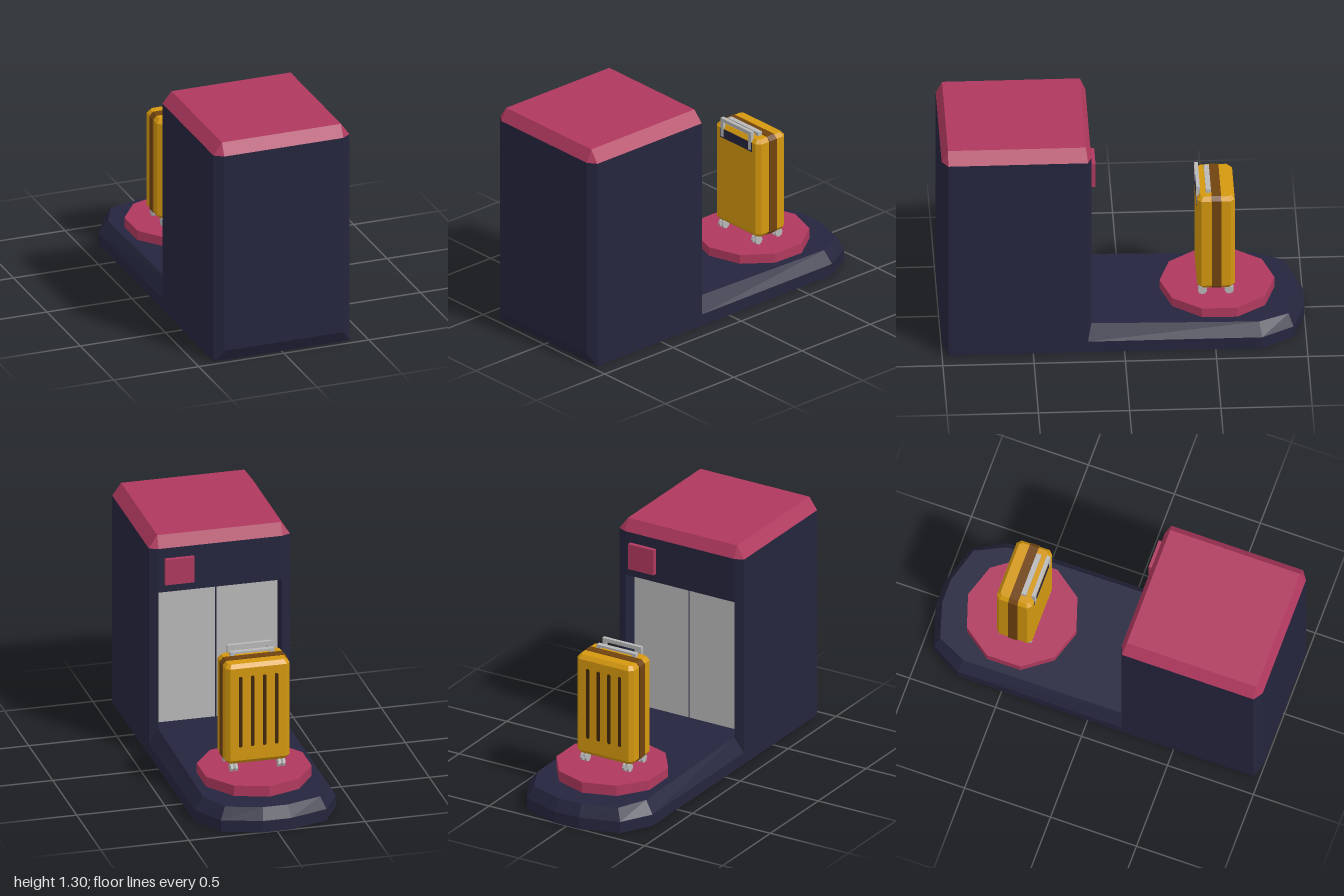
import * as THREE from 'three';

const mat = (name, color) => Object.assign(new THREE.MeshStandardMaterial({ color }), { name });

// Mirrors half an outline of [x, z] points, running from back to front, across x = 0
const mirror = (half) => half.concat(half.slice().reverse().map(([x, z]) => [-x, z]));

// Flat-faced solid through rings of { pts, y }, where y is a number or a function of z
function loft(rings) {
  const levels = rings.map(({ pts, y }) =>
    pts.map(([x, z]) => new THREE.Vector3(x, typeof y === 'function' ? y(z) : y, z)));
  const pos = [];
  const tri = (...vs) => vs.forEach((v) => pos.push(v.x, v.y, v.z));
  for (let k = 0; k + 1 < levels.length; k++) {
    const lo = levels[k], hi = levels[k + 1], n = lo.length;
    for (let i = 0; i < n; i++) {
      const j = (i + 1) % n;
      tri(lo[i], hi[i], lo[j]);
      tri(lo[j], hi[i], hi[j]);
    }
  }
  const cap = (ring, up) => {
    const flat = ring.map((v) => new THREE.Vector2(v.x, v.z));
    for (const [a, b, c] of THREE.ShapeUtils.triangulateShape(flat, [])) {
      const ab = ring[b].clone().sub(ring[a]), ac = ring[c].clone().sub(ring[a]);
      const facesUp = ab.cross(ac).y > 0;
      if (facesUp === up) tri(ring[a], ring[b], ring[c]);
      else tri(ring[a], ring[c], ring[b]);
    }
  };
  cap(levels[0], false);
  cap(levels[levels.length - 1], true);
  const g = new THREE.BufferGeometry();
  g.setAttribute('position', new THREE.Float32BufferAttribute(pos, 3));
  g.computeVertexNormals();
  return g;
}

// Rectangle outline with cut corners
const cutRect = (w, d, c) => mirror([[w - c, -d], [w, -d + c], [w, d - c], [w - c, d]]);

export function createModel() {
  const model = new THREE.Group();
  const navy = mat('navy', 0x25253e);
  const pink = mat('raspberry', 0xb0395e);
  const grey = mat('grey', 0xb8b8b8);
  const yellow = mat('amber', 0xd4980f);
  const brown = mat('brown', 0x70430f);
  const dark = mat('dark brown', 0x402808);

  const add = (parent, name, geometry, material, x = 0, y = 0, z = 0) => {
    const mesh = new THREE.Mesh(geometry, material);
    mesh.name = name;
    mesh.position.set(x, y, z);
    parent.add(mesh);
    return mesh;
  };
  const box = (parent, name, material, w, h, d, x, y, z) =>
    add(parent, name, new THREE.BoxGeometry(w, h, d), material, x, y, z);

  // Lift cabin: notched walls, solid lintel, bevelled roof
  const cabin = new THREE.Group();
  cabin.name = 'cabin';
  model.add(cabin);
  const recess = [[0.35, 0.28], [0.35, 0.18], [0.4, 0.2]];
  const walls = mirror([...recess, [0.4, 0.965], [0.35, 1]]);
  const foot = mirror([...recess, [0.4, 0.965], [0.4, 0.965]]);
  const full = mirror([[0.35, 0.18], [0.4, 0.2], [0.4, 0.965], [0.35, 1]]);
  const roof = mirror([[0.35, 0.21], [0.35, 0.21], [0.35, 0.965], [0.35, 0.965]]);
  add(cabin, 'cabinWalls', loft([
    { pts: foot, y: 0 }, { pts: walls, y: 0.07 }, { pts: walls, y: 0.97 }]), navy);
  add(cabin, 'lintel', loft([{ pts: full, y: 0.97 }, { pts: full, y: 1.23 }]), navy);
  add(cabin, 'roof', loft([{ pts: full, y: 1.23 }, { pts: roof, y: 1.3 }]), pink);
  box(cabin, 'signPanel', pink, 0.165, 0.15, 0.03, 0.235, 1.095, 0.17);
  for (const s of [-1, 1]) {
    box(cabin, 'door', grey, 0.346, 0.82, 0.008, s * 0.177, 0.56, 0.278);
  }

  // Platform with a faceted, bevelled far end and a gently sloping top
  const base = mirror([[0.08, -1], [0.3, -0.93], [0.4, -0.755], [0.4, 0.2], [0.35, 0.2], [0.35, 0.285]]);
  const deck = mirror([[0.07, -0.965], [0.27, -0.905], [0.35, -0.74], [0.35, 0.2], [0.35, 0.2], [0.35, 0.285]]);
  add(model, 'platform', loft([
    { pts: base, y: 0 }, { pts: base, y: 0.068 }, { pts: deck, y: (z) => 0.152 + z * 0.0175 }]), navy);

  // Ten-sided plinth
  const plinth = new THREE.CylinderGeometry(0.315, 0.315, 0.08, 10).toNonIndexed();
  plinth.computeVertexNormals();
  add(model, 'plinth', plinth, pink, 0, 0.16, -0.525);

  // Suitcase, built around its own centre line
  const suitcase = new THREE.Group();
  suitcase.name = 'suitcase';
  suitcase.position.set(0, 0, -0.512);
  model.add(suitcase);
  const shell = cutRect(0.182, 0.103, 0.022);
  const shellEnd = cutRect(0.164, 0.085, 0.015);
  add(suitcase, 'shell', loft([
    { pts: shellEnd, y: 0.25 }, { pts: shell, y: 0.272 },
    { pts: shell, y: 0.818 }, { pts: shellEnd, y: 0.84 }]), yellow);

  // Central band running round the shell
  const bandShape = new THREE.Shape(
    cutRect(0.186, 0.298, 0.022).map(([x, y]) => new THREE.Vector2(x, y)));
  add(suitcase, 'band', new THREE.ExtrudeGeometry(bandShape, { depth: 0.052, bevelEnabled: false }),
    brown, 0, 0.545, -0.028);

  // Round-ended grooves on the outer face
  const slot = new THREE.Shape();
  slot.absarc(0, 0.2, 0.01, 0, Math.PI);
  slot.absarc(0, -0.2, 0.01, Math.PI, Math.PI * 2);
  const slotGeometry = new THREE.ExtrudeGeometry(slot, { depth: 0.004, bevelEnabled: false, curveSegments: 4 });
  for (let i = 0; i < 4; i++) {
    add(suitcase, 'groove', slotGeometry, dark, (i - 1.5) * 0.068, 0.56, -0.105);
  }

  // Pull handle with its socket, and the carry handle on top
  box(suitcase, 'handleSocket', navy, 0.26, 0.055, 0.006, 0, 0.79, 0.102);
  box(suitcase, 'pullHandle', grey, 0.25, 0.022, 0.02, 0, 0.869, 0.096);
  box(suitcase, 'carryHandle', grey, 0.25, 0.012, 0.028, 0, 0.856, 0.04);
  for (const s of [-1, 1]) {
    box(suitcase, 'pullHandleLeg', grey, 0.022, 0.095, 0.018, s * 0.114, 0.818, 0.098);
    box(suitcase, 'carryHandleFoot', grey, 0.025, 0.016, 0.028, s * 0.112, 0.844, 0.04);
  }

  // Four twin-wheel casters
  const wheel = new THREE.CylinderGeometry(0.025, 0.025, 0.014, 8).toNonIndexed();
  wheel.rotateZ(Math.PI / 2);
  wheel.computeVertexNormals();
  for (const x of [-0.135, 0.135]) {
    for (const z of [-0.073, 0.073]) {
      box(suitcase, 'casterFork', grey, 0.014, 0.035, 0.02, x, 0.24, z);
      for (const s of [-1, 1]) add(suitcase, 'wheel', wheel, grey, x + s * 0.013, 0.225, z);
    }
  }
  return model;
}
